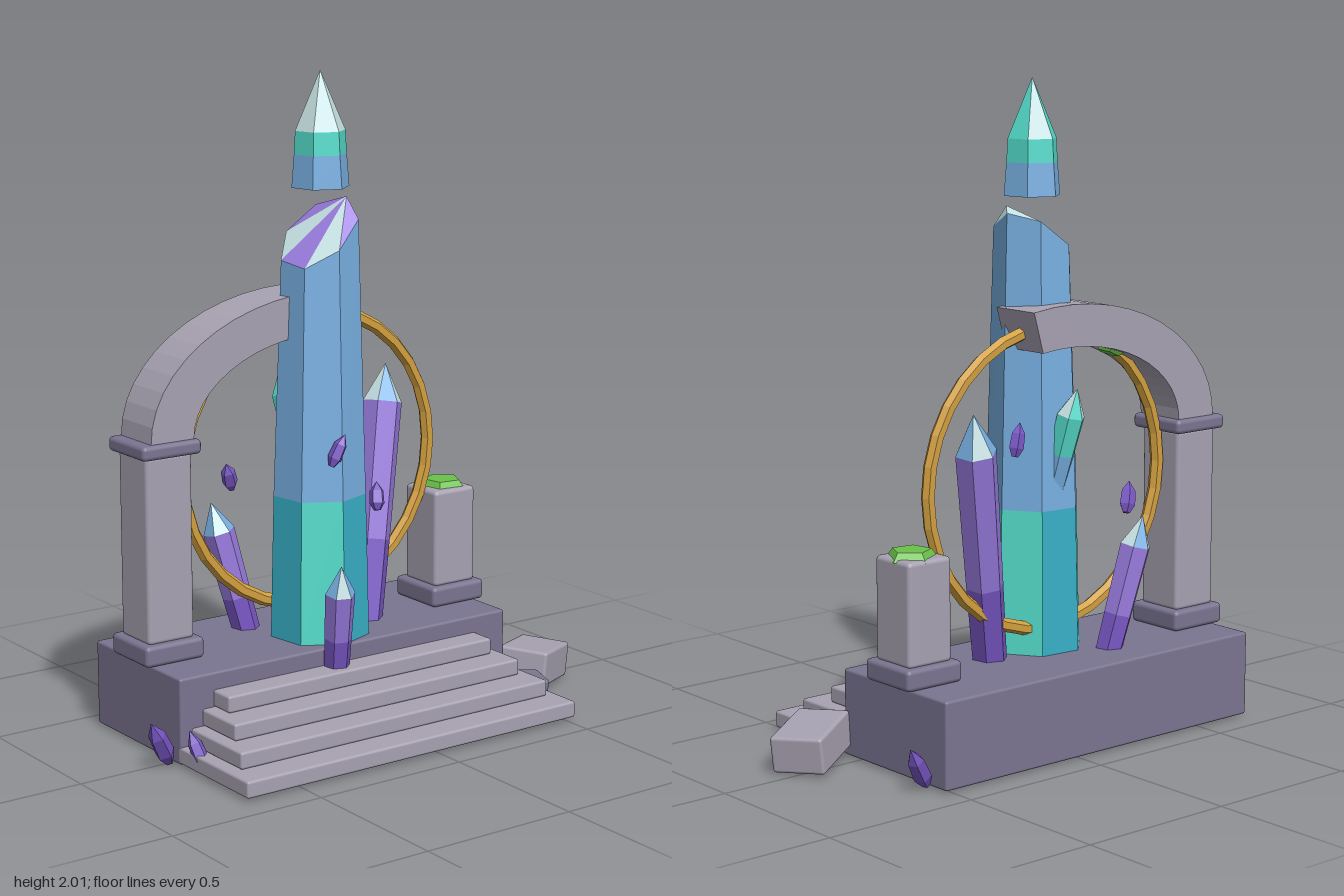
import * as THREE from 'three';
import { RoundedBoxGeometry } from 'three/addons/geometries/RoundedBoxGeometry.js';

const material = (name, color, flatShading = false) => {
  const m = new THREE.MeshStandardMaterial({ color, flatShading });
  m.name = name;
  return m;
};

export function createModel() {
  const model = new THREE.Group();
  model.name = 'crystalShrine';

  const stone = material('light stone', 0xa8a2b2);
  const darkStone = material('dark stone', 0x7b7591);
  const gold = material('gold', 0xd2a040, true);
  const moss = material('moss', 0x6cc24a, true);
  const blue = material('crystal blue', 0x78b0e2);
  const teal = material('crystal teal', 0x54dccb);
  const cyan = material('crystal cyan', 0x38b0c6);
  const ice = material('crystal ice', 0xc6e2e4);
  const purple = material('amethyst', 0x9a7ce0);
  const violet = material('deep violet', 0x7a58c6);

  const add = (name, geometry, mat, x = 0, y = 0, z = 0) => {
    const mesh = new THREE.Mesh(geometry, mat);
    mesh.name = name;
    mesh.position.set(x, y, z);
    model.add(mesh);
    return mesh;
  };

  // Box given by its limits, with softly bevelled edges
  const block = (name, mat, [x0, x1], [y0, y1], [z0, z1], bevel = 0.008) =>
    add(name, new RoundedBoxGeometry(x1 - x0, y1 - y0, z1 - z0, 2, bevel), mat,
      (x0 + x1) / 2, (y0 + y1) / 2, (z0 + z1) / 2);

  // Faceted loft: rings of {r, y, x, z}; bands[j](side) gives the material of each face
  function facets(name, sides, turn, rings, bands) {
    const angle = i => turn + ((i % sides) / sides) * Math.PI * 2;
    const point = (ring, i) => {
      const a = angle(i);
      const y = typeof ring.y === 'function' ? ring.y(a) : ring.y;
      return [(ring.x || 0) + ring.r * Math.cos(a), y, (ring.z || 0) + ring.r * Math.sin(a)];
    };
    const byMaterial = new Map();
    const tri = (mat, ...corners) => {
      if (!byMaterial.has(mat)) byMaterial.set(mat, []);
      byMaterial.get(mat).push(...corners.flat());
    };
    for (let i = 0; i < sides; i++) {
      for (let j = 0; j < rings.length - 1; j++) {
        const a = point(rings[j], i), b = point(rings[j], i + 1);
        const d = point(rings[j + 1], i), c = point(rings[j + 1], i + 1);
        const mat = bands[j](i);
        if (rings[j].r > 0) tri(mat, a, d, b);
        if (rings[j + 1].r > 0) tri(mat, b, d, c);
      }
      const base = rings[0];
      if (base.r > 0) tri(bands[0](i), [base.x || 0, base.y, base.z || 0], point(base, i), point(base, i + 1));
    }
    const geometry = new THREE.BufferGeometry();
    const positions = [], mats = [...byMaterial.keys()];
    mats.forEach((mat, k) => {
      const part = byMaterial.get(mat);
      geometry.addGroup(positions.length / 3, part.length / 3, k);
      for (const v of part) positions.push(v);
    });
    geometry.setAttribute('position', new THREE.Float32BufferAttribute(positions, 3));
    geometry.computeVertexNormals();
    return add(name, geometry, mats);
  }

  // Place a loft that was built along +y so that it runs from one point to another
  const UP = new THREE.Vector3(0, 1, 0);
  function lean(mesh, from, to) {
    mesh.position.set(...from);
    const dir = new THREE.Vector3(...to).sub(mesh.position).normalize();
    mesh.quaternion.setFromUnitVectors(UP, dir);
  }
  const span = (a, b) => new THREE.Vector3(...a).distanceTo(new THREE.Vector3(...b));

  // Platform and stairs
  block('platform', darkStone, [-0.695, 0.525], [0, 0.265], [-0.42, 0.06]);
  for (let i = 0; i < 4; i++) {
    const inset = i * 0.039;
    block('step', stone, [-0.695 + inset, 0.525 - inset],
      [0.003 + i * 0.052, 0.055 + i * 0.052], [0.04, 0.415 - i * 0.091]);
  }

  // Whole left column and broken right column
  const Z = -0.18;
  for (const [x, top] of [[-0.62, 0.9], [0.45, 0.64]]) {
    block('columnPlinth', darkStone, [x - 0.102, x + 0.102], [0.265, 0.33], [Z - 0.102, Z + 0.102], 0.014);
    block('columnShaft', stone, [x - 0.08, x + 0.08], [0.325, top], [Z - 0.08, Z + 0.08], 0.014);
  }
  block('columnCapital', darkStone, [-0.722, -0.518], [0.893, 0.938], [Z - 0.102, Z + 0.102], 0.014);

  // Broken arch: elliptical band, cut off just past its crown
  const archShape = new THREE.Shape();
  const END = Math.acos(0.242), N = 14;
  const archPoint = (a, b, t) => new THREE.Vector2(-0.085 + a * Math.cos(t), 0.937 + b * Math.sin(t));
  const outer = [], inner = [];
  for (let i = 0; i <= N; i++) {
    const t = Math.PI + (END - Math.PI) * (i / N);
    outer.push(archPoint(0.6, 0.398, t));
    inner.unshift(archPoint(0.452, 0.27, t));
  }
  archShape.setFromPoints([...outer, ...inner]);
  add('brokenArch', new THREE.ExtrudeGeometry(archShape, { depth: 0.17, bevelEnabled: false }), stone, 0, 0, -0.265);

  // Gold ring
  add('goldRing', new THREE.TorusGeometry(0.46, 0.021, 6, 32), gold, -0.065, 0.802, Z);

  // Moss on the broken column and under the arch
  const cap = add('mossCap', new THREE.CylinderGeometry(0.06, 0.08, 0.028, 5), moss, 0.457, 0.645, Z);
  cap.rotation.y = 0.5;
  const patch = add('archMoss', new THREE.CylinderGeometry(0.05, 0.035, 0.02, 5), moss, -0.3, 1.172, -0.2);
  patch.rotation.z = 0.42;

  // Main crystal: seven sides, two-tone foot, slanted crown
  const always = mat => () => mat;
  const alternate = (a, b) => i => (i % 2 ? b : a);
  const TURN = THREE.MathUtils.degToRad(-8);
  facets('mainCrystal', 7, TURN, [
    { r: 0.156, y: 0.26, x: -0.09, z: -0.092 },
    { r: 0.145, y: 0.71, x: -0.087, z: -0.095 },
    { r: 0.12, y: a => 1.51 + 0.09 * Math.cos(a) - 0.03 * Math.sin(a), x: -0.08, z: -0.1 },
    { r: 0, y: 1.62, x: -0.003, z: -0.065 },
  ], [alternate(teal, cyan), always(blue), alternate(ice, purple)]);

  // Floating tip
  facets('floatingTip', 6, THREE.MathUtils.degToRad(-40), [
    { r: 0.09, y: 1.65, x: -0.074, z: -0.1 },
    { r: 0.082, y: 1.75, x: -0.074, z: -0.1 },
    { r: 0.078, y: 1.82, x: -0.074, z: -0.1 },
    { r: 0, y: 2, x: -0.074, z: -0.1 },
  ], [always(blue), always(teal), i => (i === 0 || i === 4 ? teal : ice)]);

  // Leaning crystals: [name, base, tip, radius, foot, body, two tip colours]
  const leaning = [
    ['tallSideCrystal', [0.115, 0.24, -0.13], [0.285, 1.045, -0.255], 0.064, violet, purple, ice, blue],
    ['frontCrystal', [-0.143, 0.19, 0.075], [-0.172, 0.54, 0.142], 0.047, violet, purple, blue, ice],
    ['rearCrystal', [-0.235, 0.22, -0.265], [-0.342, 0.67, -0.312], 0.05, violet, purple, blue, ice],
    ['buddingCrystal', [-0.085, 0.78, -0.19], [-0.115, 1.08, -0.262], 0.045, blue, teal, teal, ice],
  ];
  for (const [name, from, to, r, foot, body, tipA, tipB] of leaning) {
    const h = span(from, to), shoulder = h - r * 1.9;
    lean(facets(name, 6, 0.35, [
      { r: r * 0.85, y: 0 }, { r: r * 0.92, y: h * 0.33 }, { r, y: shoulder }, { r: 0, y: h },
    ], [always(foot), always(body), alternate(tipA, tipB)]), from, to);
  }

  // Small shards, hovering and fallen: [base, tip, radius]
  const shards = [
    [[0.14, 0.905, -0.27], [0.115, 1.005, -0.265], 0.023],
    [[-0.14, 0.825, 0.045], [-0.095, 0.92, 0.055], 0.023],
    [[-0.25, 0.695, -0.335], [-0.285, 0.785, -0.31], 0.025],
    [[0.11, 0.63, -0.06], [0.125, 0.715, -0.085], 0.025],
    [[-0.705, 0, 0.01], [-0.795, 0.15, 0.058], 0.03],
    [[-0.668, 0.005, 0.155], [-0.69, 0.12, 0.1], 0.024],
    [[0.53, 0.003, -0.335], [0.62, 0.135, -0.375], 0.028],
  ];
  for (const [from, to, r] of shards) {
    const h = span(from, to);
    lean(facets('shard', 5, 0.2, [
      { r: r * 0.45, y: 0 }, { r, y: h * 0.25 }, { r: r * 0.9, y: h * 0.68 }, { r: 0, y: h },
    ], [always(violet), always(violet), always(violet)]), from, to);
  }

  // Fallen blocks beside the stairs
  const fallen = block('fallenBlock', stone, [0.538, 0.772], [0.012, 0.124], [-0.032, 0.132], 0.01);
  fallen.rotation.set(0.06, 0.55, -0.15);
  const chip = block('fallenChip', darkStone, [0.475, 0.555], [0.005, 0.09], [0.155, 0.265], 0.012);
  chip.rotation.set(0.04, -0.33, -0.08);

  return model;
}
